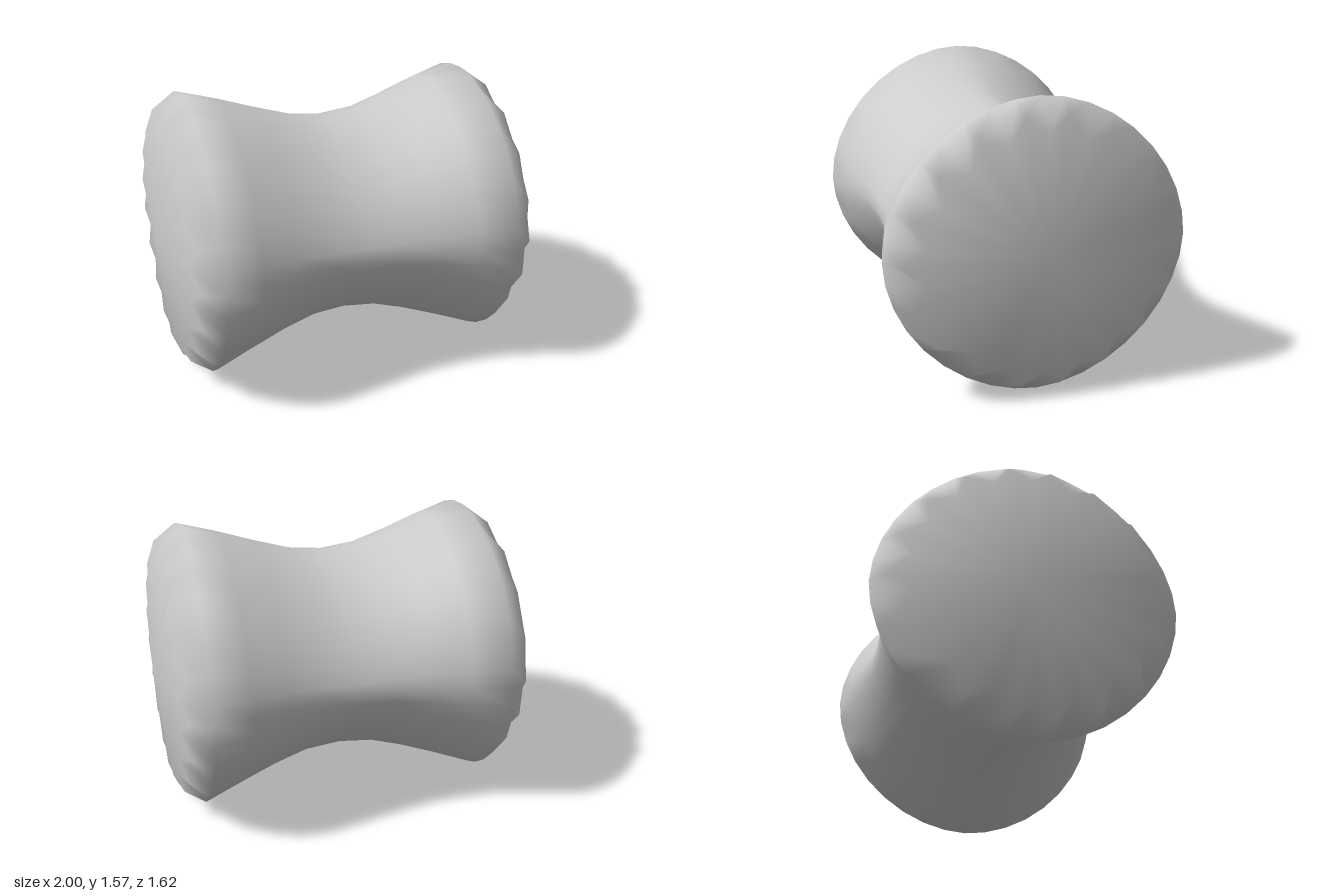
import * as THREE from 'three';

const SIDES = 36;
const MID = 0.787;

// Body rings from the waist out: [x, centre y, radius y, radius z, pinch]
// A pinch of 1 is an ellipse, 2 a straight-sided diamond.
const PROFILE = [
  [0, 0.795, 0.581, 0.672, 1.3],
  [0.2, 0.797, 0.6, 0.68, 1.27],
  [0.4, 0.799, 0.656, 0.718, 1.2],
  [0.6, 0.797, 0.722, 0.766, 1.13],
  [0.8, MID, 0.787, 0.808, 1.07],
];

const power = (v, e) => Math.sign(v) * Math.abs(v) ** e;

// Point j of a pinched oval in the plane at x
function ovalPoint(j, x, cy, ry, rz, pinch) {
  const a = (j / SIDES) * Math.PI * 2;
  return [x, cy + ry * power(Math.cos(a), pinch), rz * power(Math.sin(a), pinch)];
}

function bodyRing(ring) {
  return Array.from({ length: SIDES }, (_, j) => ovalPoint(j, ...ring));
}

// Pleated rim: raised folds alternate with wider, set-back valleys
function rimRing(side) {
  return Array.from({ length: SIDES }, (_, j) => (j % 2 === 0
    ? ovalPoint(j, side * 0.95, MID, 0.62, 0.63, 1.07)
    : ovalPoint(j, side * 0.91, MID, 0.715, 0.73, 1.07)));
}

function reelGeometry() {
  const mirrored = PROFILE.slice(1).reverse().map(([x, ...rest]) => [-x, ...rest]);
  const rings = [rimRing(-1), ...[...mirrored, ...PROFILE].map(bodyRing), rimRing(1)];
  const last = rings.length - 1;
  const points = rings.flat();
  const left = points.push([1, MID, 0]) - 1;
  const right = points.push([-1, MID, 0]) - 1;
  const at = (i, j) => i * SIDES + (j % SIDES);
  const index = [];

  for (let j = 0; j < SIDES; j++) {
    // Side wall
    for (let i = 0; i < last; i++) {
      const a = at(i, j), b = at(i, j + 1), c = at(i + 1, j + 1), d = at(i + 1, j);
      index.push(a, b, c, a, c, d);
    }
    // Shallow pleated cones closing the two ends
    index.push(left, at(last, j), at(last, j + 1));
    index.push(right, at(0, j + 1), at(0, j));
  }

  const geometry = new THREE.BufferGeometry();
  geometry.setAttribute('position', new THREE.Float32BufferAttribute(points.flat(), 3));
  geometry.setIndex(index);
  geometry.computeVertexNormals();
  return geometry;
}

export function createModel() {
  const group = new THREE.Group();
  group.name = 'pleatedReel';
  const body = new THREE.Mesh(reelGeometry(), new THREE.MeshStandardMaterial({ color: 0xcccccc }));
  body.name = 'body';
  group.add(body);
  return group;
}
